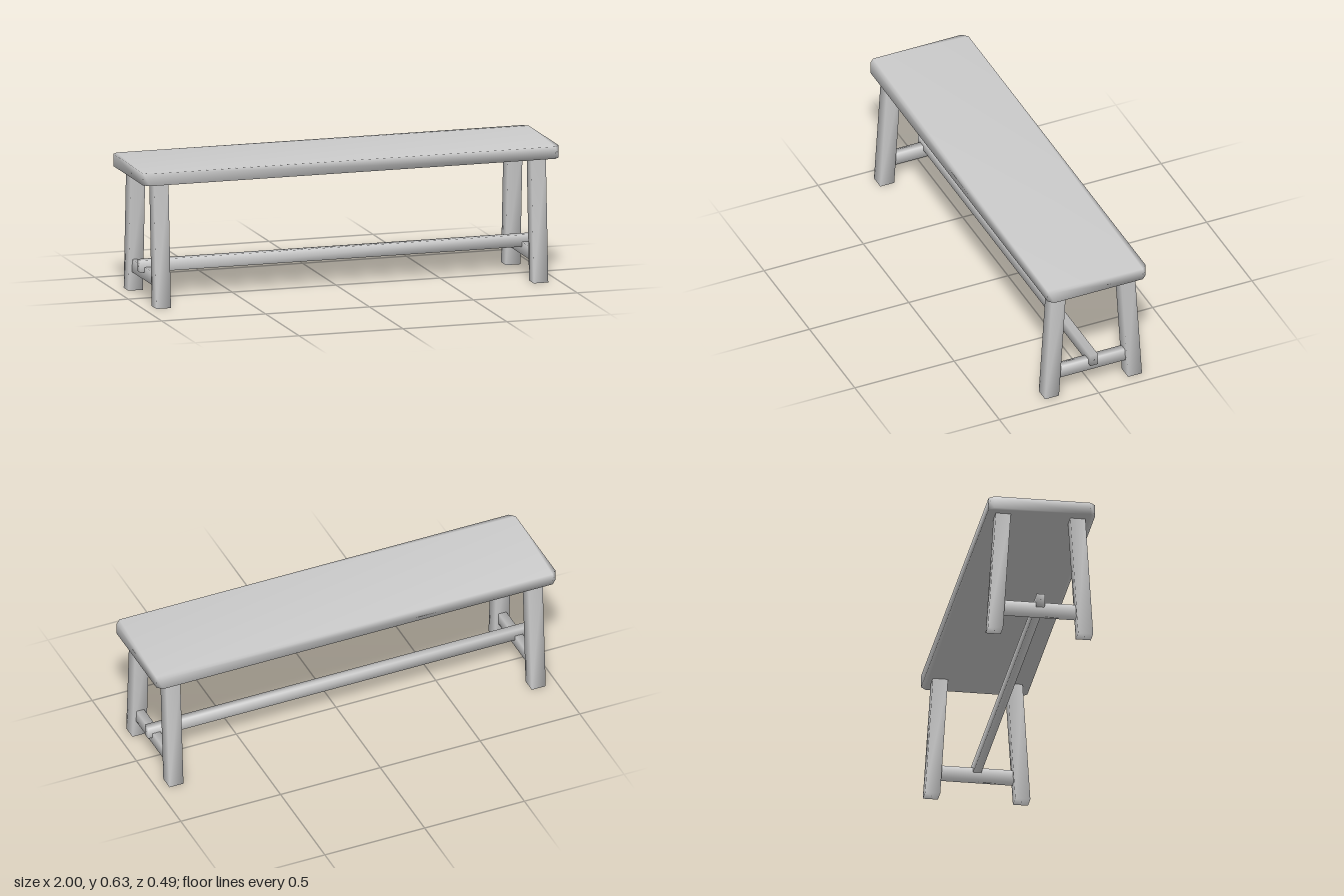
import * as THREE from 'three';
import { mergeVertices } from 'three/addons/utils/BufferGeometryUtils.js';

const material = new THREE.MeshStandardMaterial({ color: 0xcccccc });

// Share corners so normals blend softly across the edges
function soften(geometry) {
  geometry.deleteAttribute('normal');
  geometry.deleteAttribute('uv');
  const g = mergeVertices(geometry, 1e-4);
  g.computeVertexNormals();
  return g;
}

function addPart(group, name, geometry, x, y, z) {
  const mesh = new THREE.Mesh(soften(geometry), material);
  mesh.name = name;
  mesh.position.set(x, y, z);
  group.add(mesh);
}

// Square leg sheared so its foot splays outwards along z, ends kept level
function legGeometry(height, size, splay) {
  const g = new THREE.BoxGeometry(size, height, size);
  const p = g.attributes.position;
  for (let i = 0; i < p.count; i++) {
    p.setZ(i, p.getZ(i) - (p.getY(i) / height) * splay);
  }
  return g;
}

// Plank with clipped corners, lying flat
function seatGeometry(length, depth, thickness, clip) {
  const x = length / 2, z = depth / 2;
  const outline = new THREE.Shape([
    [x - clip, -z], [x, -z + clip], [x, z - clip], [x - clip, z],
    [-x + clip, z], [-x, z - clip], [-x, -z + clip], [-x + clip, -z],
  ].map(([a, b]) => new THREE.Vector2(a, b)));
  const g = new THREE.ExtrudeGeometry(outline, { depth: thickness, bevelEnabled: false });
  return g.rotateX(-Math.PI / 2);
}

export function createModel() {
  const bench = new THREE.Group();
  bench.name = 'bench';

  addPart(bench, 'seat', seatGeometry(2, 0.494, 0.057, 0.024), 0, 0.578, 0);

  for (const sx of [-1, 1]) {
    const side = sx > 0 ? 'left' : 'right';
    // Splayed legs, front and back
    for (const sz of [-1, 1]) {
      const end = sz > 0 ? 'Front' : 'Back';
      addPart(bench, `${side}${end}Leg`, legGeometry(0.58, 0.07, sz * 0.036), sx * 0.908, 0.29, sz * 0.191);
    }
    // Rail joining each pair of legs
    addPart(bench, `${side}CrossRail`, new THREE.BoxGeometry(0.038, 0.06, 0.38), sx * 0.908, 0.118, 0);
  }

  // Long rail resting in the cross rails
  addPart(bench, 'longStretcher', new THREE.BoxGeometry(1.9, 0.056, 0.038), 0, 0.153, 0);

  return bench;
}
